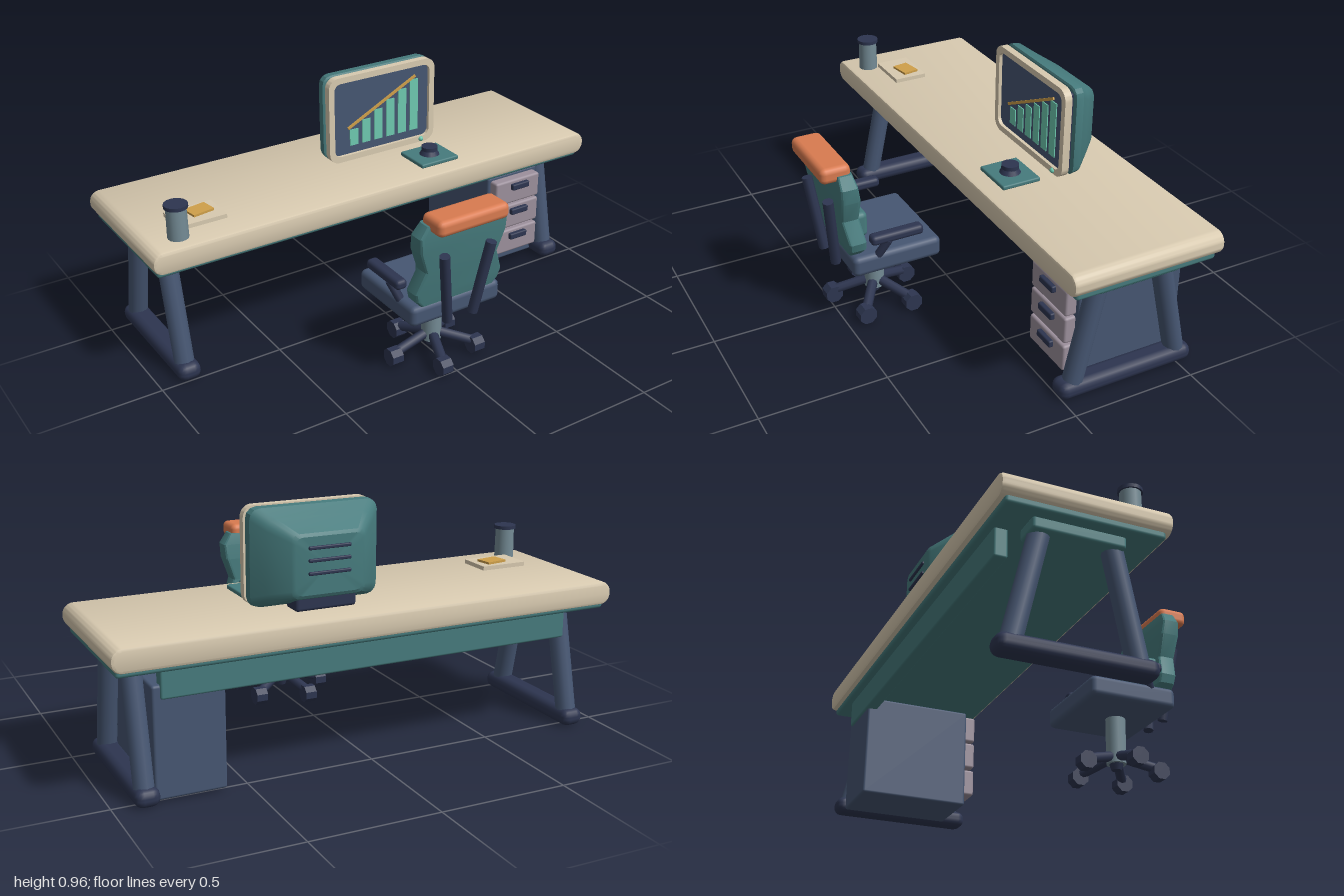
import * as THREE from 'three';
import { toCreasedNormals } from 'three/addons/utils/BufferGeometryUtils.js';
import { RoundedBoxGeometry } from 'three/addons/geometries/RoundedBoxGeometry.js';

const mat = (name, color) => Object.assign(new THREE.MeshStandardMaterial({ color }), { name });

export function createModel() {
  const model = new THREE.Group();
  model.name = 'workstation';
  const beige = mat('warm beige', 0xd8cab0);
  const teal = mat('teal', 0x467b7d);
  const navy = mat('slate blue', 0x465672);
  const dark = mat('dark navy', 0x2d3550);
  const steel = mat('steel grey', 0x748b95);
  const mauve = mat('mauve grey', 0x9c909c);
  const orange = mat('orange', 0xd97b50);
  const mint = mat('mint', 0x6ec9b0);
  const gold = mat('gold', 0xcfa04a);

  const group = (name) => {
    const g = new THREE.Group();
    g.name = name;
    model.add(g);
    return g;
  };
  const add = (parent, name, geo, material, x = 0, y = 0, z = 0) => {
    const m = new THREE.Mesh(geo, material);
    m.name = name;
    m.position.set(x, y, z);
    parent.add(m);
    return m;
  };
  const rbox = (w, h, d, r) => new RoundedBoxGeometry(w, h, d, 2, r);
  const box = (w, h, d) => new THREE.BoxGeometry(w, h, d);

  // Straight round bar between two points
  const rod = (parent, name, a, b, r, material, sides = 12) => {
    const p = new THREE.Vector3(...a), q = new THREE.Vector3(...b);
    const m = add(parent, name, new THREE.CylinderGeometry(r, r, p.distanceTo(q), sides), material);
    m.position.copy(p).add(q).multiplyScalar(0.5);
    m.quaternion.setFromUnitVectors(new THREE.Vector3(0, 1, 0), q.sub(p).normalize());
    return m;
  };

  const roundRect = (w, h, r, Type = THREE.Shape) => {
    const s = new Type(), x = w / 2, y = h / 2;
    s.moveTo(x, y - r);
    s.absarc(x - r, y - r, r, 0, Math.PI / 2);
    s.absarc(r - x, y - r, r, Math.PI / 2, Math.PI);
    s.absarc(r - x, r - y, r, Math.PI, Math.PI * 1.5);
    s.absarc(x - r, r - y, r, Math.PI * 1.5, Math.PI * 2);
    s.closePath();
    return s;
  };

  // Solid through rounded rectangles stacked along y: [y, width, z0, z1, corner]
  const loft = (sections, crease = 0.5) => {
    const rings = sections.map(([y, w, z0, z1, r]) => {
      const ring = [], d = z1 - z0;
      for (let k = 0; k < 4; k++) {
        for (let j = 0; j < 4; j++) {
          const a = (k + j / 3) * Math.PI / 2;
          const sx = k === 0 || k === 3 ? 1 : -1, sz = k < 2 ? 1 : -1;
          ring.push([sx * (w / 2 - r) + r * Math.cos(a), y,
            (z0 + z1) / 2 + sz * (d / 2 - r) + r * Math.sin(a)]);
        }
      }
      return ring;
    });
    const pos = [], n = rings[0].length;
    const tri = (...p) => p.forEach((v) => pos.push(...v));
    const mid = ([y, , z0, z1]) => [0, y, (z0 + z1) / 2];
    const low = rings[0], high = rings[rings.length - 1];
    for (let i = 0; i < n; i++) {
      const j = (i + 1) % n;
      for (let s = 0; s < rings.length - 1; s++) {
        const b = rings[s], t = rings[s + 1];
        tri(b[i], t[i], b[j]);
        tri(t[i], t[j], b[j]);
      }
      tri(mid(sections[0]), low[i], low[j]);
      tri(mid(sections[sections.length - 1]), high[j], high[i]);
    }
    const g = new THREE.BufferGeometry();
    g.setAttribute('position', new THREE.Float32BufferAttribute(pos, 3));
    return toCreasedNormals(g, crease);
  };

  // Desk top, under-tray and rear panel
  const desk = group('desk');
  const bev = 0.012;
  const topGeo = new THREE.ExtrudeGeometry(roundRect(2 - 2 * bev, 0.09 - 2 * bev, 0.03), {
    depth: 0.62 - 2 * bev, bevelSize: bev, bevelThickness: bev, bevelSegments: 2, curveSegments: 5,
  });
  add(desk, 'deskTop', toCreasedNormals(topGeo, 0.6), beige, 0, 0.55, -0.585 + bev);
  add(desk, 'underTray', rbox(1.96, 0.035, 0.58, 0.012), teal, 0, 0.503, -0.275);
  add(desk, 'rearPanel', rbox(1.64, 0.125, 0.05, 0.008), teal, 0, 0.4425, -0.512);

  // A-frame legs
  for (const s of [-1, 1]) {
    const x = s * 0.88, legs = group(s > 0 ? 'leftLegFrame' : 'rightLegFrame');
    add(legs, 'legBracket', rbox(0.11, 0.05, 0.34, 0.012), teal, x, 0.469, -0.28);
    rod(legs, 'frontLeg', [x, 0.47, -0.143], [x, 0.05, -0.055], 0.039, navy);
    rod(legs, 'rearLeg', [x, 0.47, -0.403], [x, 0.05, -0.503], 0.039, navy);
    add(legs, 'foot', rbox(0.092, 0.068, 0.57, 0.03), dark, x, 0.039, -0.275);
  }

  // Drawer cabinet
  const cabinet = group('drawerCabinet');
  add(cabinet, 'cabinetBody', rbox(0.265, 0.415, 0.44, 0.01), navy, 0.717, 0.2225, -0.308);
  for (const y of [0.362, 0.244, 0.122]) {
    add(cabinet, 'drawerFront', rbox(0.235, 0.11, 0.05, 0.01), mauve, 0.715, y, -0.069);
    add(cabinet, 'drawerHandle', rbox(0.09, 0.028, 0.022, 0.006), dark, 0.72, y + 0.025, -0.037);
  }

  // Monitor: bezel frame, screen, chart, rear housing and stand
  const monitor = group('monitor');
  monitor.position.set(0.165, 0.779, 0);
  const frame = roundRect(0.51, 0.366, 0.045);
  frame.holes.push(roundRect(0.46, 0.316, 0.03, THREE.Path));
  const frameGeo = new THREE.ExtrudeGeometry(frame, { depth: 0.03, bevelEnabled: false, curveSegments: 5 });
  add(monitor, 'bezel', toCreasedNormals(frameGeo, 0.6), beige, 0, 0, -0.3);
  add(monitor, 'screen', box(0.47, 0.325, 0.008), navy, 0, 0, -0.288);
  add(monitor, 'screenBacking', rbox(0.48, 0.326, 0.026, 0.01), dark, 0, 0, -0.307);
  for (let i = 0; i < 6; i++) {
    const h = 0.07 + i * 0.031;
    add(monitor, 'chartBar', box(0.04, h, 0.006), mint, -0.133 + i * 0.0587, -0.124 + h / 2, -0.283);
  }
  const trend = add(monitor, 'trendLine', box(0.365, 0.011, 0.006), gold, 0, 0.036, -0.278);
  trend.rotation.z = 0.46;
  const housing = loft([
    [0.316, 0.49, -0.175, 0.175, 0.03],
    [0.32, 0.51, -0.182, 0.182, 0.04],
    [0.352, 0.505, -0.178, 0.18, 0.04],
    [0.4, 0.42, -0.162, 0.147, 0.04],
    [0.47, 0.29, -0.132, 0.102, 0.03],
    [0.477, 0.26, -0.12, 0.09, 0.025],
  ], 0.45);
  housing.rotateX(-Math.PI / 2);
  add(monitor, 'rearHousing', housing, teal);
  for (const y of [0.05, 0.005, -0.042]) {
    add(monitor, 'ventSlot', rbox(0.165, 0.013, 0.018, 0.004), dark, 0, y, -0.476);
  }
  add(monitor, 'stand', rbox(0.24, 0.07, 0.09, 0.012), dark, 0, -0.15, -0.408);
  add(monitor, 'powerButton', new THREE.SphereGeometry(0.011, 10, 8), mint, 0.19, -0.17, -0.27);

  // Items on the desk
  const items = group('deskItems');
  add(items, 'controlPad', rbox(0.18, 0.018, 0.16, 0.006), teal, 0.295, 0.603, -0.12);
  add(items, 'controlKnob', new THREE.CylinderGeometry(0.03, 0.042, 0.02, 16), dark, 0.295, 0.621, -0.12);
  add(items, 'knobCap', new THREE.CylinderGeometry(0.034, 0.034, 0.016, 16), dark, 0.295, 0.638, -0.12);
  add(items, 'paperStack', box(0.195, 0.017, 0.14), beige, -0.743, 0.603, -0.16);
  const note = add(items, 'stickyNote', box(0.09, 0.009, 0.068), gold, -0.722, 0.616, -0.17);
  note.rotation.y = 0.16;
  add(items, 'cupBody', new THREE.CylinderGeometry(0.038, 0.04, 0.125, 16), steel, -0.862, 0.656, -0.052);
  add(items, 'cupLid', new THREE.CylinderGeometry(0.045, 0.045, 0.014, 16), dark, -0.862, 0.723, -0.052);

  // Chair base with five castors
  const chair = group('chair');
  const cz = 0.325;
  add(chair, 'post', new THREE.CylinderGeometry(0.04, 0.04, 0.2, 14), steel, 0, 0.165, cz);
  add(chair, 'hub', new THREE.CylinderGeometry(0.03, 0.02, 0.03, 12), dark, 0, 0.055, cz);
  for (let i = 0; i < 5; i++) {
    const a = Math.PI + i * Math.PI * 0.4;
    const x = 0.175 * Math.cos(a), z = cz + 0.168 * Math.sin(a);
    rod(chair, 'baseArm', [0, 0.1, cz], [x, 0.05, z], 0.02, dark, 8);
    const wheel = new THREE.CylinderGeometry(0.037, 0.037, 0.048, 8);
    wheel.rotateY(Math.PI / 8);
    wheel.rotateZ(Math.PI / 2);
    add(chair, 'castor', toCreasedNormals(wheel, 0.4), dark, x, 0.039, z);
  }

  // Seat, backrest, lumbar cushion and headrest
  add(chair, 'seat', rbox(0.405, 0.084, 0.366, 0.022), navy, 0, 0.297, 0.306);
  add(chair, 'backrest', loft([
    [0.34, 0.33, 0.437, 0.492, 0.012],
    [0.365, 0.375, 0.427, 0.497, 0.015],
    [0.4, 0.392, 0.43, 0.502, 0.015],
    [0.49, 0.325, 0.444, 0.516, 0.015],
    [0.58, 0.385, 0.445, 0.525, 0.015],
    [0.64, 0.392, 0.455, 0.527, 0.015],
    [0.685, 0.33, 0.465, 0.524, 0.012],
  ], 0.3), teal);
  add(chair, 'lumbarCushion', rbox(0.28, 0.105, 0.06, 0.02), teal, 0, 0.44, 0.43);
  add(chair, 'headrest', rbox(0.312, 0.064, 0.12, 0.022), orange, 0, 0.689, 0.525);

  // Backrest supports and armrests
  for (const s of [-1, 1]) {
    rod(chair, 'backSupport', [s * 0.105, 0.56, 0.545], [s * 0.058, 0.258, 0.508], 0.021, dark, 8);
    add(chair, 'armrest', rbox(0.048, 0.04, 0.215, 0.015), dark, s * 0.202, 0.41, 0.315);
    rod(chair, 'armStrut', [s * 0.212, 0.4, 0.35], [s * 0.18, 0.31, 0.392], 0.017, dark, 8);
  }
  return model;
}
